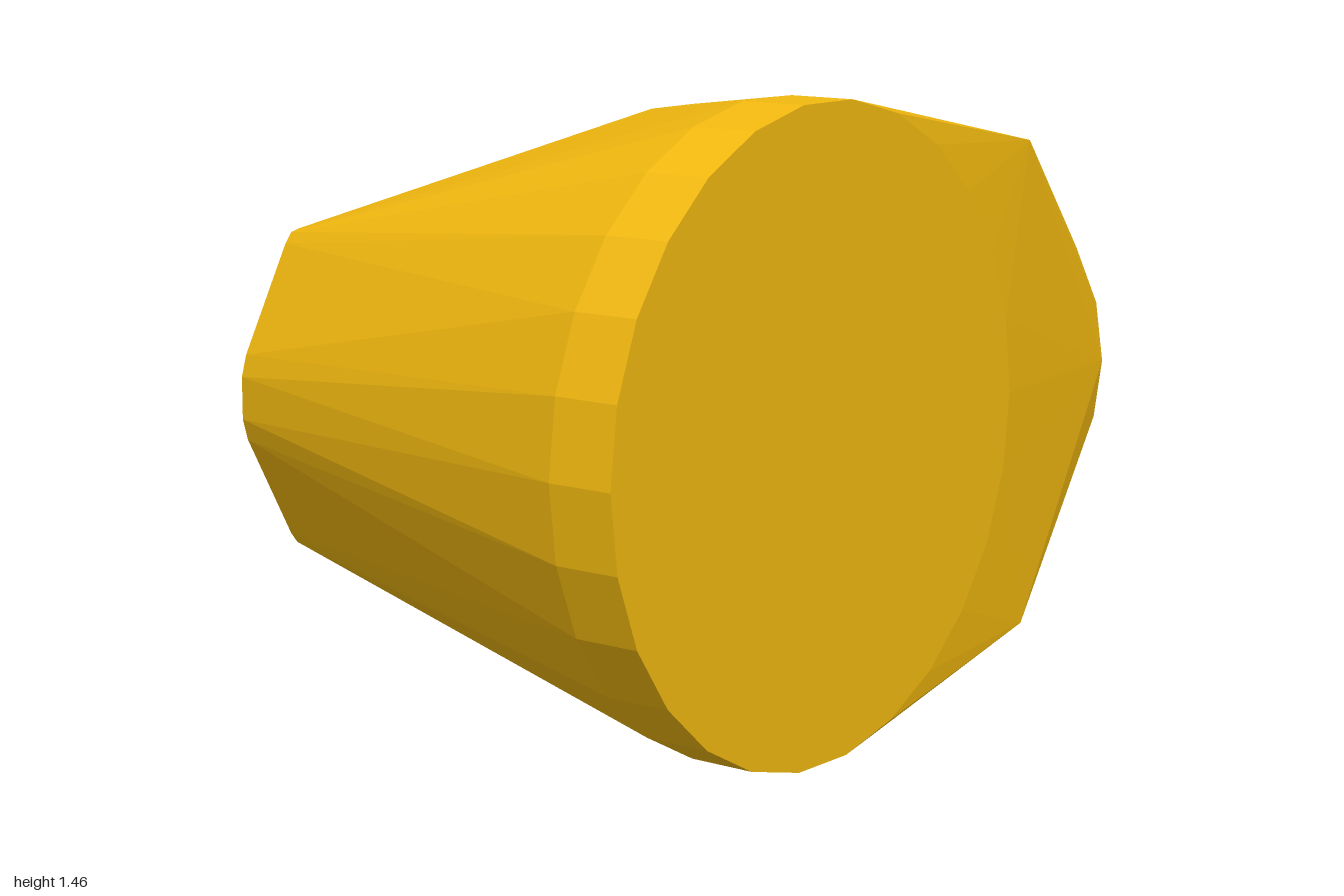
import * as THREE from 'three';
import { ConvexGeometry } from 'three/addons/geometries/ConvexGeometry.js';

const MID = 0.732; // height of the horizontal symmetry plane

// Evenly spaced points of a polygonal ring
function ring(count, radius, place) {
  return Array.from({ length: count }, (_, i) => {
    const a = (i / count) * Math.PI * 2;
    return place(radius * Math.cos(a), radius * Math.sin(a));
  });
}

export function createModel() {
  const group = new THREE.Group();
  const points = [];

  // Large front drum: two equal rings
  for (const z of [0.51, 0.672]) {
    points.push(...ring(26, 0.735, (u, v) => new THREE.Vector3(-0.265 + u, MID + v, z)));
  }

  // Round end on the left side, very slightly raised in the middle
  for (const [x, r] of [[0.988, 0.507], [0.994, 0.365]]) {
    points.push(...ring(22, r, (u, v) => new THREE.Vector3(x, MID + v, 0.103 + u)));
  }

  // Shoulders and the rounded six-sided back, mirrored above and below
  const upper = [
    [0.58, 0.58, 0.645], // front shoulder
    [0.41, 0.608, -0.35], [0.575, 0.608, -0.35], [0.572, 0.595, -0.385], // back shoulder
  ];
  for (const side of [-1, 1]) {
    for (const [x, y] of [[0.52, 0.376], [0.545, 0.37], [0.565, 0.345], [0.7, 0.1], [0.715, 0.05]]) {
      upper.push([0.012 + side * x, y, -0.672]);
    }
  }
  for (const [x, y, z] of upper) {
    points.push(new THREE.Vector3(x, MID + y, z), new THREE.Vector3(x, MID - y, z));
  }

  const body = new THREE.Mesh(
    new ConvexGeometry(points),
    new THREE.MeshStandardMaterial({ color: 0xf2b90f, flatShading: true })
  );
  body.name = 'convexBody';
  group.add(body);
  return group;
}
